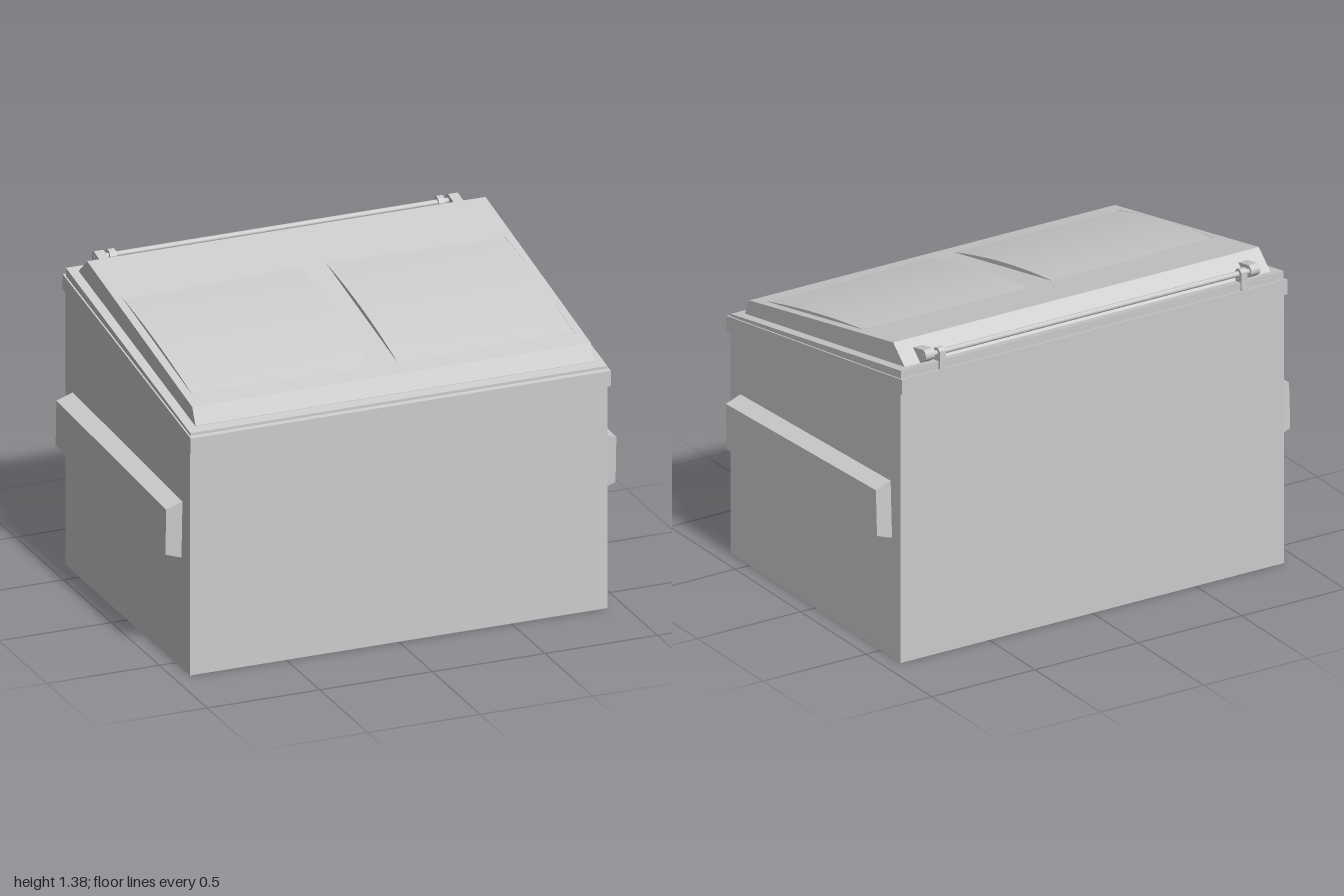
import * as THREE from 'three';

const material = new THREE.MeshStandardMaterial({ color: 0xcccccc });

function add(parent, name, geometry) {
  const mesh = new THREE.Mesh(geometry, material);
  mesh.name = name;
  parent.add(mesh);
  return mesh;
}

// Extrudes a side profile of [z, y] points across x, centred on x = cx
function across(points, width, cx = 0) {
  const shape = new THREE.Shape(points.map(([z, y]) => new THREE.Vector2(z, y)));
  const geometry = new THREE.ExtrudeGeometry(shape, { depth: width, bevelEnabled: false });
  geometry.translate(0, 0, -width / 2);
  geometry.rotateY(-Math.PI / 2);
  geometry.translate(cx, 0, 0);
  return geometry;
}

// Height of the lid's sloping top at depth z
const lidY = (z) => 1.15 + (0.575 - z) * 0.209;

// Gently domed panel: a grid bowed in z, closed by skirts on its two long sides
function panelGeometry(side) {
  const n = 16, inner = 0.06, outer = 0.85;
  const top = new THREE.PlaneGeometry(1, 1, 2, n);
  const pos = top.attributes.position;
  for (let i = 0; i < pos.count; i++) {
    const u = pos.getX(i) + 0.5;
    const v = 0.5 - pos.getY(i);
    const x = side > 0 ? inner + u * (outer - inner) : -outer + u * (outer - inner);
    const z = -0.25 + v * 0.75;
    const t = (Math.abs(x) - inner) / (outer - inner);
    const bulge = (0.019 - 0.004 * t) * 4 * v * (1 - v) - 0.002 * t;
    pos.setXYZ(i, x, lidY(z) + bulge, z);
  }
  top.computeVertexNormals();
  return top;
}

function skirtGeometry(x, height) {
  const points = [];
  for (let i = 0; i <= 16; i++) {
    const v = i / 16, z = -0.25 + v * 0.75;
    points.push([z, lidY(z) + height * 4 * v * (1 - v)]);
  }
  points.push([0.5, lidY(0.5) - 0.005], [-0.25, lidY(-0.25) - 0.005]);
  return across(points, 0.002, x);
}

export function createModel() {
  const model = new THREE.Group();
  model.name = 'dumpster';

  // Bin body with a sloping top, its rim band and the lip above
  add(model, 'body', across([[0.65, 0], [0.65, 1.0], [-0.65, 1.22], [-0.65, 0]], 1.856));
  add(model, 'rim', across([[0.67, 0.987], [0.67, 1.055], [-0.667, 1.277], [-0.667, 1.21]], 1.866));
  add(model, 'lip', across([[0.65, 1.04], [0.65, 1.07], [-0.65, 1.31], [-0.65, 1.25]], 1.852));

  // Lid
  const lid = new THREE.Group();
  lid.name = 'lid';
  model.add(lid);
  add(lid, 'lidShell', across(
    [[0.607, 1.06], [0.607, 1.08], [0.573, 1.15], [-0.525, 1.38], [-0.613, 1.303], [-0.613, 1.28]], 1.77));

  for (const side of [-1, 1]) {
    // Domed lid panels
    add(lid, 'lidPanel', panelGeometry(side));
    add(lid, 'panelInnerEdge', skirtGeometry(side * 0.061, 0.019));
    add(lid, 'panelOuterEdge', skirtGeometry(side * 0.849, 0.013));

    // Tapered fork pocket, tilted with the lid
    const section = new THREE.Shape([[0.9, -0.136], [1.0, -0.101], [1.0, 0.101], [0.9, 0.136]]
      .map(([x, y]) => new THREE.Vector2(x * side, y)));
    const pocket = new THREE.ExtrudeGeometry(section, { depth: 1.147, bevelEnabled: false });
    pocket.translate(0, 0, -1.147 / 2);
    pocket.rotateX(0.043);
    pocket.translate(0, 0.638, -0.006);
    add(model, 'forkPocket', pocket);

    // Hinge knuckle joined to the back of the lid
    const knuckle = [[-0.613, 1.303], [-0.555, 1.352]];
    for (let i = 0; i <= 8; i++) {
      const a = 1.75 + (i / 8) * 2.3;
      knuckle.push([-0.63 + 0.026 * Math.cos(a), 1.344 + 0.026 * Math.sin(a)]);
    }
    add(model, 'hingeKnuckle', across(knuckle, 0.044, side * 0.787));

    // Hinge bracket fixed to the rim
    add(model, 'hingeBracket', across(
      [[-0.664, 1.25], [-0.652, 1.25], [-0.652, 1.31], [-0.615, 1.303], [-0.612, 1.345],
        [-0.622, 1.362], [-0.645, 1.366], [-0.66, 1.355]], 0.03, side * 0.73));
  }

  // Hinge rod
  const rod = new THREE.CylinderGeometry(0.012, 0.012, 1.62, 12);
  rod.rotateZ(Math.PI / 2);
  rod.translate(0, 1.342, -0.634);
  add(model, 'hingeRod', rod);

  return model;
}
